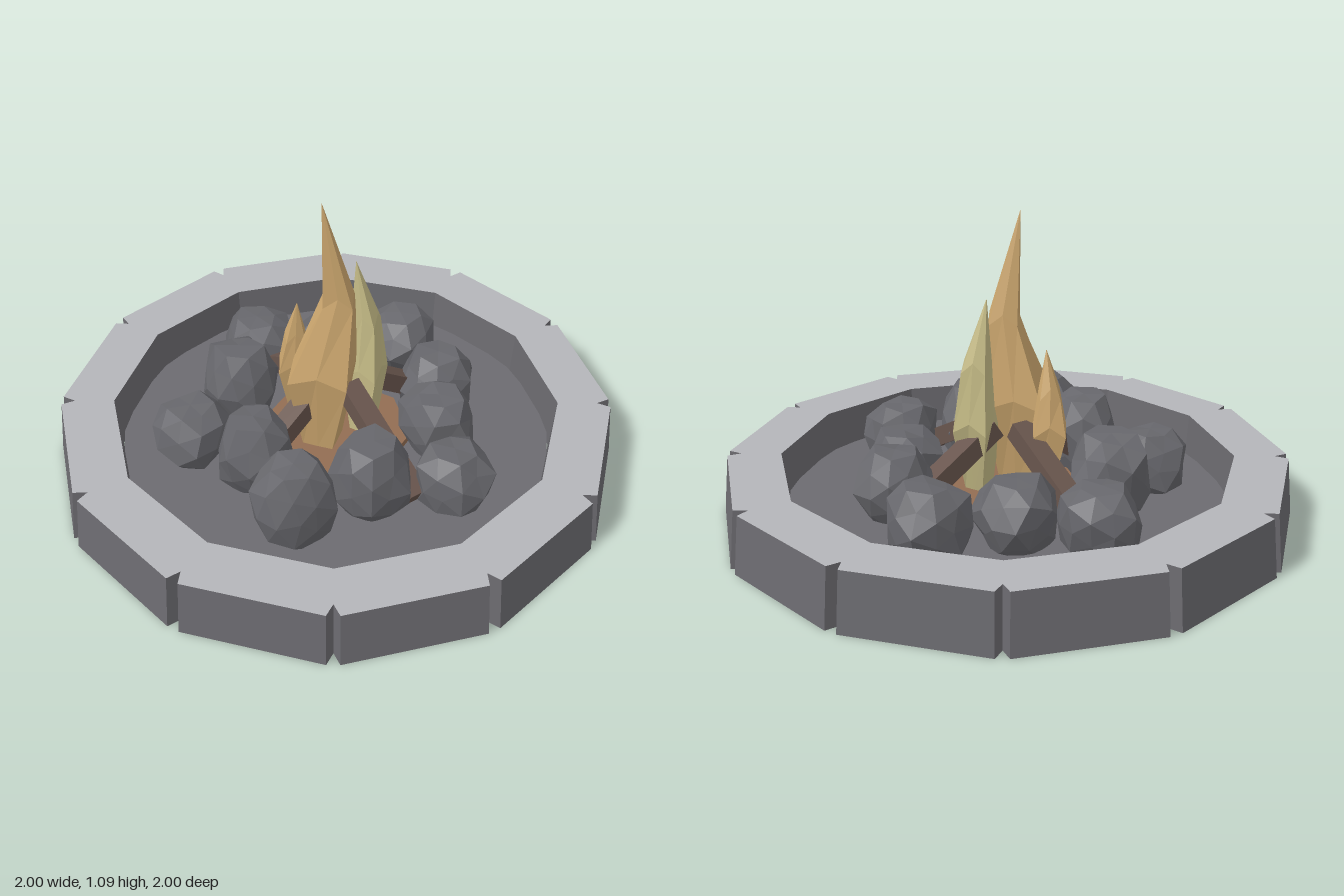
import * as THREE from 'three';

const mat = (name, color, side = THREE.FrontSide) =>
  new THREE.MeshStandardMaterial({ name, color, side, flatShading: true });

// Skins a stack of cross-sections (each listed counter-clockwise seen from above)
function loft(rings, closeTop = false) {
  const v = [];
  const tri = (a, b, c) => {
    if (a.equals(b) || b.equals(c) || a.equals(c)) return;
    v.push(...a.toArray(), ...b.toArray(), ...c.toArray());
  };
  for (let k = 0; k + 1 < rings.length; k++) {
    const lo = rings[k], hi = rings[k + 1], n = lo.length;
    for (let i = 0; i < n; i++) {
      const j = (i + 1) % n;
      tri(lo[i], lo[j], hi[j]);
      tri(lo[i], hi[j], hi[i]);
    }
  }
  if (closeTop) {
    const t = rings[rings.length - 1];
    for (let i = 1; i + 1 < t.length; i++) tri(t[0], t[i], t[i + 1]);
  }
  const g = new THREE.BufferGeometry();
  g.setAttribute('position', new THREE.Float32BufferAttribute(v, 3));
  g.computeVertexNormals();
  return g;
}

// Flame from levels of [y, radius, centre x, centre z]; odd corners are pulled in and lifted
function flameGeometry(levels, twist) {
  const sides = 8;
  return loft(levels.map(([y, r, cx, cz], k) => Array.from({ length: sides }, (_, i) => {
    const a = (i / sides) * Math.PI * 2 + twist + k * 0.12;
    const odd = i % 2;
    const rr = r * (odd ? 0.72 : 1);
    const lift = r > 0 && k > 0 && odd ? 0.04 : 0;
    return new THREE.Vector3(cx + rr * Math.cos(a), y + lift, cz - rr * Math.sin(a));
  })));
}

// Faceted lump with flattened top and bottom
function coalGeometry(seed, radius, bottom, top) {
  const g = new THREE.IcosahedronGeometry(1, 1);
  const p = g.attributes.position, v = new THREE.Vector3();
  for (let i = 0; i < p.count; i++) {
    v.fromBufferAttribute(p, i);
    const key = Math.round(v.x * 50) * 12.99 + Math.round(v.y * 50) * 78.23 + Math.round(v.z * 50) * 37.72;
    const h = Math.sin(key + seed * 5.17) * 43758.55;
    v.multiplyScalar(0.84 + 0.24 * (h - Math.floor(h)));
    const y = THREE.MathUtils.clamp(v.y / 0.8, -1, 1);
    p.setXYZ(i, v.x * radius, bottom + (y + 1) / 2 * (top - bottom), v.z * radius);
  }
  g.computeVertexNormals();
  return g;
}

export function createModel() {
  const root = new THREE.Group();
  root.name = 'firePit';
  const wallMat = mat('darkStone', 0x6c6b70, THREE.DoubleSide);
  const capMat = mat('paleStone', 0xb4b5b9, THREE.DoubleSide);
  const floorMat = mat('ash', 0x6c6b70);
  const coalMat = mat('coal', 0x67676c);
  const emberMat = mat('ember', 0x926d52);
  const woodMat = mat('wood', 0x68554d);
  const orangeMat = mat('orangeFlame', 0xcba66e);
  const yellowMat = mat('yellowFlame', 0xc6bc87);

  const add = (parent, name, geo, material) => {
    const m = new THREE.Mesh(geo, material);
    m.name = name;
    parent.add(m);
    return m;
  };

  // Ring of twelve tapered stone blocks with notched joints
  const outline = (y, outer, notch, inner) => {
    const t = Math.tan(Math.PI / 12);
    const half = [[outer * t - 0.023, outer], [notch * t, notch], [inner * t, inner]];
    const right = half.map(([x, z]) => new THREE.Vector3(x, y, z));
    const left = half.map(([x, z]) => new THREE.Vector3(-x, y, z));
    return [left[0], ...right, left[2], left[1]];
  };
  const low = outline(0, 1, 0.95, 0.775), high = outline(0.205, 0.98, 0.93, 0.79);
  const wallGeo = loft([low, high]), capGeo = loft([high], true);
  const ring = new THREE.Group();
  ring.name = 'stoneRing';
  root.add(ring);
  for (let i = 0; i < 12; i++) {
    const block = new THREE.Group();
    block.name = 'stoneBlock';
    block.rotation.y = (i / 12) * Math.PI * 2;
    add(block, 'blockSides', wallGeo, wallMat);
    add(block, 'blockTop', capGeo, capMat);
    ring.add(block);
  }

  // Pit floor and glowing bed
  add(root, 'pitFloor', new THREE.CylinderGeometry(0.792, 0.792, 0.02, 24), floorMat).position.y = 0.05;
  const bed = add(root, 'emberBed', new THREE.CylinderGeometry(0.28, 0.28, 0.05, 8), emberMat);
  bed.position.y = 0.06;
  bed.rotation.y = Math.PI / 8;

  // Coals: x, z, top height
  const coals = [
    [-0.19, -0.5, 0.28], [0.07, -0.4, 0.29], [0.36, -0.37, 0.29], [-0.31, -0.24, 0.35],
    [-0.53, -0.04, 0.27], [0.42, -0.08, 0.30], [0.35, 0.14, 0.28], [-0.34, 0.17, 0.35],
    [-0.26, 0.44, 0.35], [0.03, 0.4, 0.35], [0.31, 0.43, 0.28],
  ];
  coals.forEach(([x, z, top], i) => {
    const coal = add(root, 'coal', coalGeometry(i + 1, 0.15, 0.03, top), coalMat);
    coal.position.set(x, 0, z);
    coal.rotation.y = i * 1.3;
  });

  // Logs leaning in towards the middle: outer end x, z
  for (const [x, z] of [[-0.165, -0.43], [0.17, 0.46], [0.37, -0.125], [-0.34, 0.16]]) {
    const outer = new THREE.Vector3(x, 0.11, z);
    const inner = new THREE.Vector3(x * 0.15, 0.33, z * 0.15);
    const log = add(root, 'log', new THREE.BoxGeometry(0.075, 0.07, outer.distanceTo(inner)), woodMat);
    log.position.copy(outer).add(inner).multiplyScalar(0.5);
    log.lookAt(outer);
  }

  // Flames
  add(root, 'mainFlame', flameGeometry([
    [0.08, 0.08, -0.06, 0.04], [0.39, 0.15, -0.055, 0.035],
    [0.69, 0.072, 0, 0.045], [1.09, 0, -0.06, 0.05],
  ], 0.2), orangeMat);
  add(root, 'sideFlame', flameGeometry([
    [0.08, 0.05, 0.1, 0.02], [0.32, 0.09, 0.115, -0.015],
    [0.54, 0.062, 0.115, -0.02], [0.8, 0, 0.078, -0.02],
  ], 0), yellowMat);
  add(root, 'smallFlame', flameGeometry([
    [0.08, 0.05, -0.1, -0.1], [0.32, 0.08, -0.125, -0.11],
    [0.45, 0.05, -0.125, -0.1], [0.62, 0, -0.12, -0.08],
  ], 0.4), orangeMat);

  return root;
}
